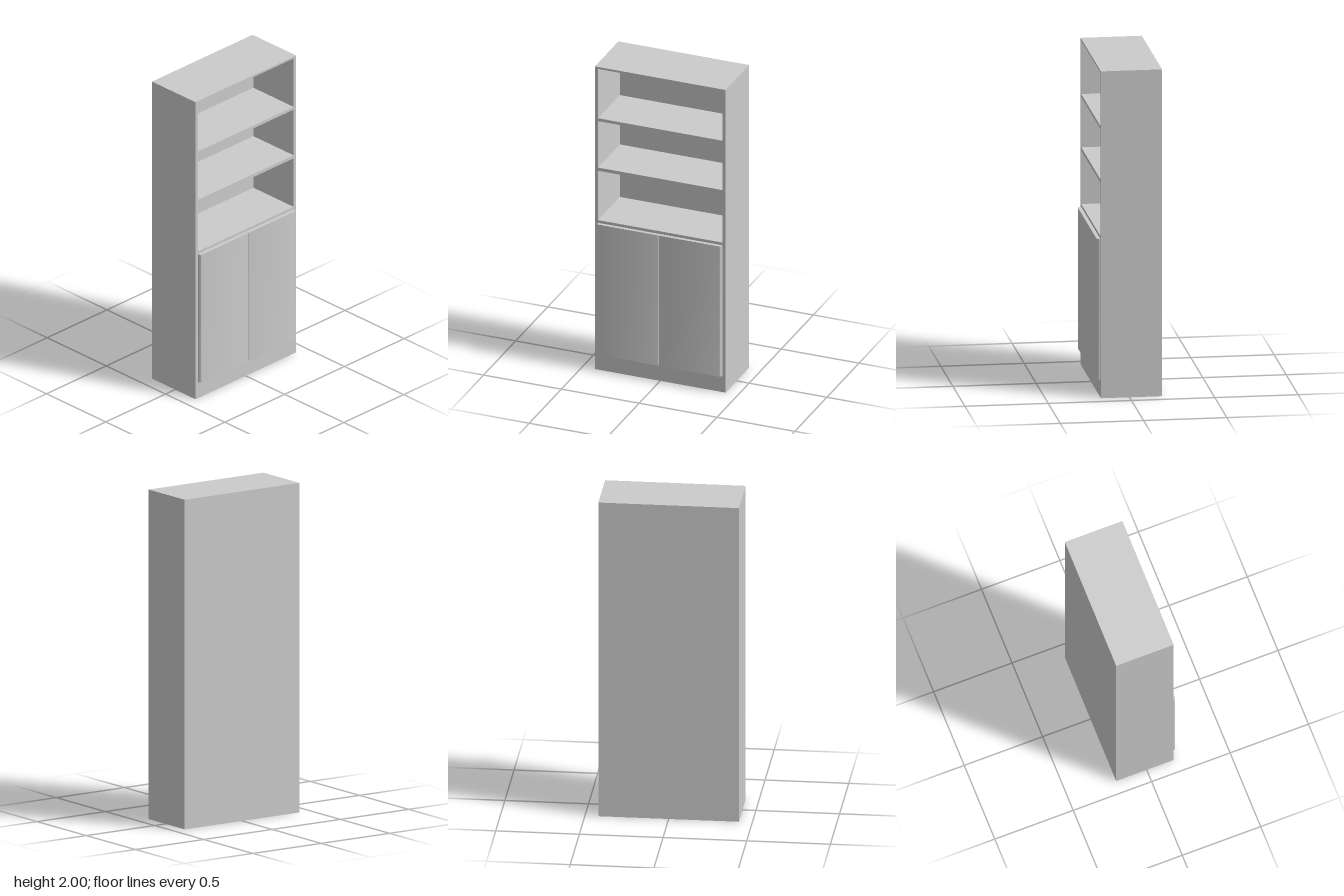
import * as THREE from 'three';
import { mergeGeometries, toCreasedNormals } from 'three/addons/utils/BufferGeometryUtils.js';

const material = new THREE.MeshStandardMaterial({ color: 0xcccccc, side: THREE.DoubleSide });
const HALF_W = 0.42, HEIGHT = 2, BACK = -0.195, FRONT = 0.172, DOOR_FRONT = 0.194;
const OPEN_W = 0.4;                       // half width of every front opening
const CUBBY_BACK = -0.168;
const CUBBIES = [[0.988, 1.314], [1.335, 1.642], [1.661, 1.987]];
const DOOR_Y = [0.109, 0.97];

function addMesh(parent, name, geometry) {
  const mesh = new THREE.Mesh(geometry, material);
  mesh.name = name;
  parent.add(mesh);
  return mesh;
}

// Box shell between two corners, leaving out faces (0..5 = +x -x +y -y +z -z)
function openBox(min, max, missing) {
  const size = max.map((v, i) => v - min[i]);
  const g = new THREE.BoxGeometry(...size);
  const index = Array.from(g.index.array);
  g.setIndex(index.filter((_, i) => !missing.includes(Math.floor(i / 6))));
  g.clearGroups();
  return g.translate(...max.map((v, i) => (v + min[i]) / 2));
}

function rectPath(PathType, x0, y0, x1, y1) {
  return new PathType([[x0, y0], [x1, y0], [x1, y1], [x0, y1]].map(p => new THREE.Vector2(...p)));
}

// Door shell: rounded vertical edges, flat ends, open at the back
function doorGeometry(x0, x1, r0, r1) {
  const profile = [[x0, FRONT]];
  const arc = (cx, r, from, to) => {
    for (let i = 0; i <= 6; i++) {
      const a = from + (to - from) * i / 6;
      profile.push([cx + r * Math.cos(a), DOOR_FRONT - r + r * Math.sin(a)]);
    }
  };
  arc(x0 + r0, r0, Math.PI, Math.PI / 2);
  arc(x1 - r1, r1, Math.PI / 2, 0);
  profile.push([x1, FRONT]);

  const [bottom, top] = DOOR_Y;
  const positions = [], index = [];
  profile.forEach(([x, z], i) => {
    positions.push(x, bottom, z, x, top, z);
    if (i > 0) {
      const a = 2 * i - 2;
      index.push(a, a + 2, a + 3, a, a + 3, a + 1);
    }
  });
  const wall = new THREE.BufferGeometry();
  wall.setAttribute('position', new THREE.Float32BufferAttribute(positions, 3));
  wall.setIndex(index);

  const cap = (y, up) => {
    const shape = new THREE.Shape(profile.map(([x, z]) => new THREE.Vector2(x, up ? -z : z)));
    const g = new THREE.ShapeGeometry(shape).rotateX(up ? -Math.PI / 2 : Math.PI / 2).translate(0, y, 0);
    g.deleteAttribute('uv');
    g.deleteAttribute('normal');
    return g.toNonIndexed();
  };
  const merged = mergeGeometries([wall.toNonIndexed(), cap(top, true), cap(bottom, false)]);
  return toCreasedNormals(merged, Math.PI / 5);
}

export function createModel() {
  const bookcase = new THREE.Group();
  bookcase.name = 'bookcase';

  // Outer case, open underneath and at the front
  addMesh(bookcase, 'case', openBox([-HALF_W, 0, BACK], [HALF_W, HEIGHT, FRONT], [3, 4]));

  // Front frame with three shelf openings and one door opening
  const frame = rectPath(THREE.Shape, -HALF_W, 0, HALF_W, HEIGHT);
  for (const [y0, y1] of [...CUBBIES, DOOR_Y]) {
    frame.holes.push(rectPath(THREE.Path, -OPEN_W, y0, OPEN_W, y1));
  }
  addMesh(bookcase, 'frontFrame', new THREE.ShapeGeometry(frame).translate(0, 0, FRONT));

  // Recessed shelf compartments
  const shelves = new THREE.Group();
  shelves.name = 'shelfCompartments';
  CUBBIES.forEach(([y0, y1], i) => {
    addMesh(shelves, `shelfCompartment${i + 1}`,
      openBox([-OPEN_W, y0, CUBBY_BACK], [OPEN_W, y1, FRONT], [4]));
  });
  bookcase.add(shelves);

  // Pair of cupboard doors
  const doors = new THREE.Group();
  doors.name = 'doors';
  addMesh(doors, 'rightDoor', doorGeometry(-OPEN_W, 0, 0.015, 0.008));
  addMesh(doors, 'leftDoor', doorGeometry(0, OPEN_W, 0.008, 0.015));
  bookcase.add(doors);

  return bookcase;
}
